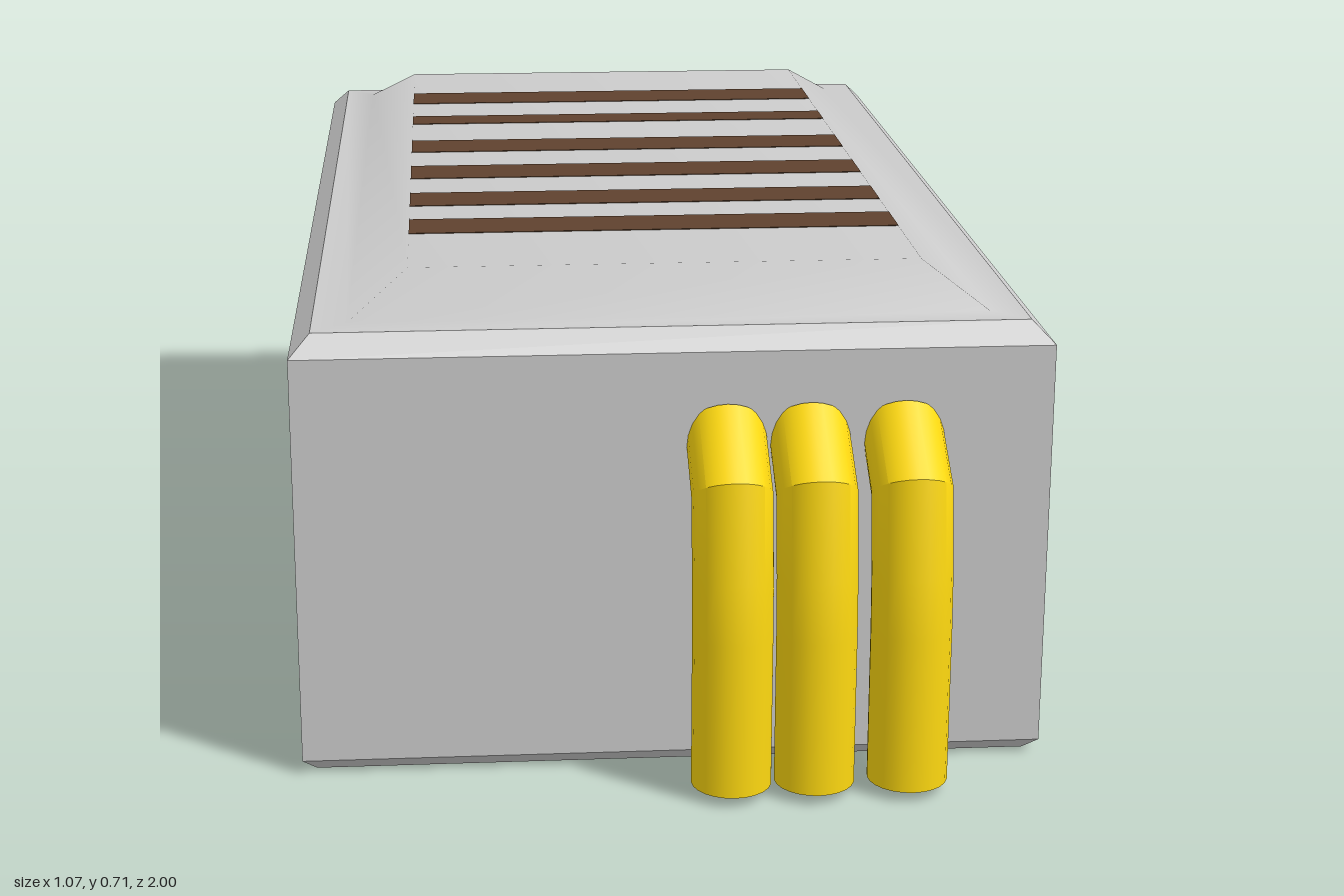
import * as THREE from 'three';
import { toCreasedNormals } from 'three/addons/utils/BufferGeometryUtils.js';

const grey = new THREE.MeshStandardMaterial({ color: 0xcccccc });
const flatGrey = new THREE.MeshStandardMaterial({ color: 0xcccccc, flatShading: true });
const brown = new THREE.MeshStandardMaterial({ color: 0x5f422e });
const yellow = new THREE.MeshStandardMaterial({ color: 0xfdd810 });

// Skin a list of closed rings, optionally capping the first and last
function loft(rings, capStart, capEnd) {
  const n = rings[0].length;
  const index = [];
  for (let i = 0; i < rings.length - 1; i++) {
    for (let j = 0; j < n; j++) {
      const a = i * n + j, b = i * n + (j + 1) % n;
      index.push(a, b, b + n, a, b + n, a + n);
    }
  }
  const last = (rings.length - 1) * n;
  for (let j = 1; j < n - 1; j++) {
    if (capStart) index.push(0, j + 1, j);
    if (capEnd) index.push(last, last + j, last + j + 1);
  }
  const geo = new THREE.BufferGeometry().setFromPoints(rings.flat());
  geo.setIndex(index);
  geo.computeVertexNormals();
  return geo;
}

// Rectangle of the case outline, shrunk by an inset, at height y
const HALF = 0.535, FRONT = 0.845, BACK = -1;
function outline(inset, y) {
  const x = HALF - inset, f = FRONT - inset, b = BACK + inset;
  return [[x, f], [x, b], [-x, b], [-x, f]].map(([px, pz]) => new THREE.Vector3(px, y, pz));
}

// Hollow pipe swept along [z, y] points with mitred bends
function pipeGeometry(path, radius, bore, sides = 24) {
  const pts = path.map(([z, y]) => new THREE.Vector3(0, y, z));
  const ring = (i, r) => {
    const before = pts[i].clone().sub(pts[Math.max(i - 1, 0)]).normalize();
    const after = pts[Math.min(i + 1, pts.length - 1)].clone().sub(pts[i]).normalize();
    const t = before.clone().add(after).normalize();
    const mitre = 1 / t.dot(before.lengthSq() ? before : after);
    return Array.from({ length: sides }, (_, j) => {
      const a = (j / sides) * Math.PI * 2;
      const w = Math.sin(a) * r * mitre;
      return new THREE.Vector3(Math.cos(a) * r, pts[i].y + t.z * w, pts[i].z - t.y * w);
    });
  };
  const outer = pts.map((_, i) => ring(i, radius));
  const inner = pts.map((_, i) => ring(i, bore)).reverse();
  return toCreasedNormals(loft([...inner, ...outer], false, false), 0.6);
}

export function createModel() {
  const model = new THREE.Group();
  const add = (name, geo, mat, x = 0, y = 0, z = 0) => {
    const mesh = new THREE.Mesh(geo, mat);
    mesh.name = name;
    mesh.position.set(x, y, z);
    model.add(mesh);
  };

  // Case with chamfered top and bottom edges
  add('case', loft([outline(0.02, 0), outline(0, 0.02), outline(0, 0.62), outline(0.03, 0.65)], true, false), flatGrey);

  // Softly shaded raised lid
  add('lid', loft([outline(0.03, 0.65), outline(0.08, 0.65), outline(0.165, 0.706)], false, true), grey);

  // Vent slats flush with the lid: [back z, front z]
  const slats = [[-0.63, -0.53], [-0.41, -0.34], [-0.195, -0.1], [0.01, 0.105], [0.21, 0.3], [0.39, 0.48]];
  for (const [z0, z1] of slats) {
    add('ventSlat', new THREE.BoxGeometry(0.74, 0.01, z1 - z0), brown, 0, 0.702, (z0 + z1) / 2);
  }

  // Dark band around both sides and the back
  const bandHeight = 0.46, bandY = 0.315, bandFront = 0.4, skin = 0.004;
  for (const side of [-1, 1]) {
    add(side > 0 ? 'leftBand' : 'rightBand',
      new THREE.BoxGeometry(skin, bandHeight, bandFront - BACK), brown, side * HALF, bandY, (bandFront + BACK) / 2);
  }
  add('backBand', new THREE.BoxGeometry(HALF * 2 + skin, bandHeight, skin), brown, 0, bandY, BACK);

  // Three bent pipes entering the front
  const pipe = pipeGeometry(
    [[0.942, 0.015], [0.942, 0.24], [0.937, 0.32], [0.917, 0.435], [0.82, 0.498]], 0.057, 0.026);
  for (const x of [0.073, 0.191, 0.324]) add('pipe', pipe, yellow, x);

  return model;
}
